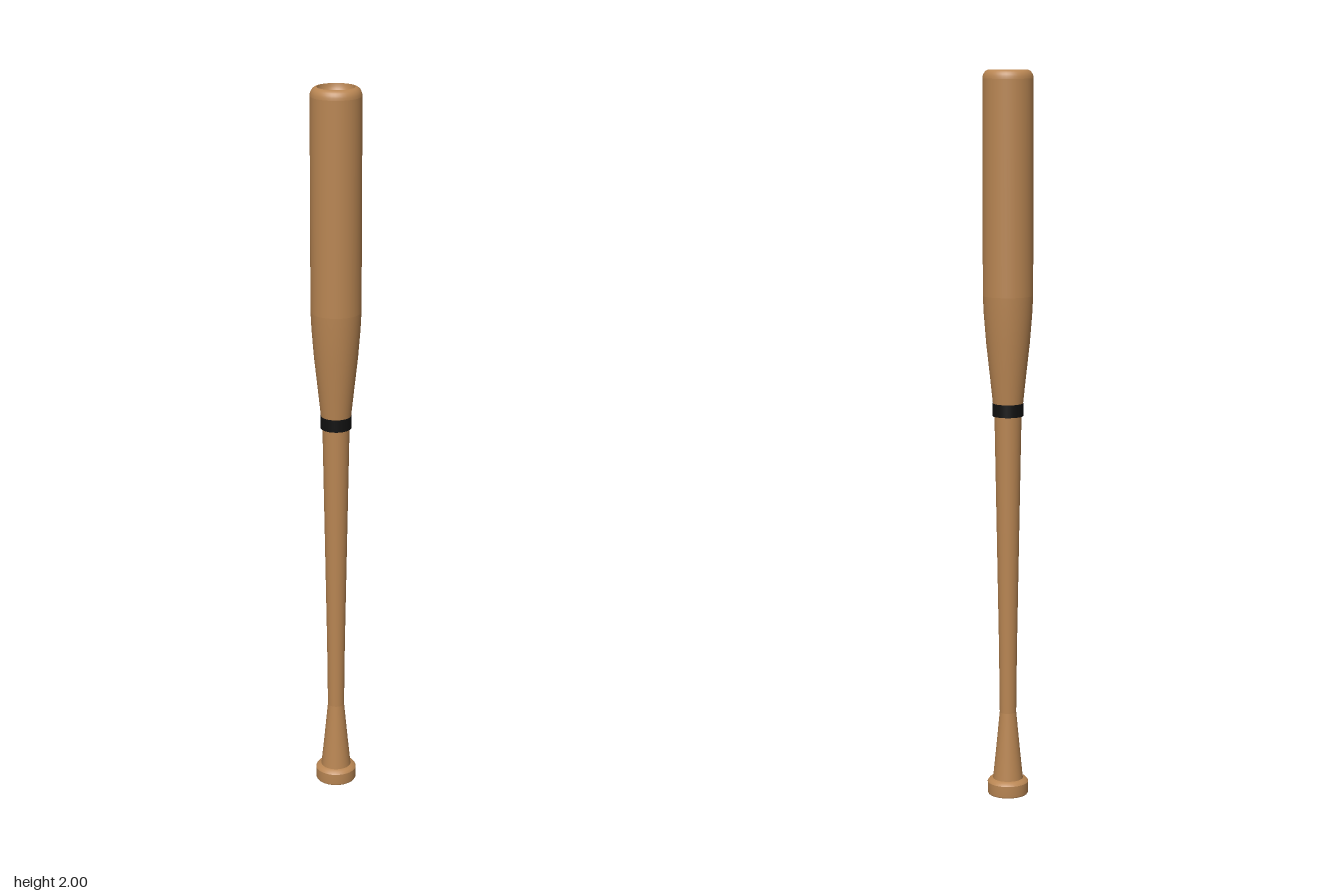
import * as THREE from 'three';

export function createModel() {
  const bat = new THREE.Group();
  bat.name = 'bat';

  const wood = new THREE.MeshStandardMaterial({ color: 0xb98653 });
  wood.name = 'wood';
  const black = new THREE.MeshStandardMaterial({ color: 0x111111 });
  black.name = 'black';

  // Each turned section is its own lathe, so edges between sections stay sharp
  const turn = (name, material, points) => {
    const profile = points.map(([r, y]) => new THREE.Vector2(r, y));
    const mesh = new THREE.Mesh(new THREE.LatheGeometry(profile, 40), material);
    mesh.name = name;
    bat.add(mesh);
  };

  // Points on an arc in the profile plane, from angle a to angle b
  const arc = (cr, cy, rr, ry, a, b, n) =>
    Array.from({ length: n + 1 }, (_, i) => {
      const t = a + ((b - a) * i) / n;
      return [Math.max(0, cr + rr * Math.cos(t)), cy + ry * Math.sin(t)];
    });

  // Knob
  turn('knobBase', wood, [[0, 0], [0.055, 0]]);
  turn('knobSide', wood, [[0.055, 0], [0.057, 0.004], [0.057, 0.034]]);
  turn('knobShoulder', wood, [[0.057, 0.034], [0.052, 0.041], [0.042, 0.044]]);

  // Handle: flare above the knob, then a slow taper outwards
  turn('handleFlare', wood, [[0.042, 0.042], [0.033, 0.13], [0.023, 0.235]]);
  turn('handle', wood, [[0.023, 0.235], [0.025, 0.42], [0.031, 0.75], [0.037, 1.075]]);

  // Band, closed below and above
  turn('bandUnderside', black, [[0.03, 1.072], [0.042, 1.072]]);
  turn('band', black, [[0.042, 1.072], [0.042, 1.107]]);
  turn('bandTop', black, [[0.042, 1.107], [0.03, 1.107]]);

  // Barrel
  turn('barrelTaper', wood, [[0.041, 1.105], [0.049, 1.18], [0.059, 1.27], [0.0655, 1.35], [0.068, 1.40]]);
  turn('barrel', wood, [[0.068, 1.40], [0.068, 1.976]]);
  turn('barrelRim', wood, arc(0.05, 1.976, 0.018, 0.024, 0, Math.PI / 2, 6));

  // Hollowed end
  turn('endCup', wood, arc(0, 2, 0.05, 0.04, 0, -Math.PI / 2, 8));

  return bat;
}
